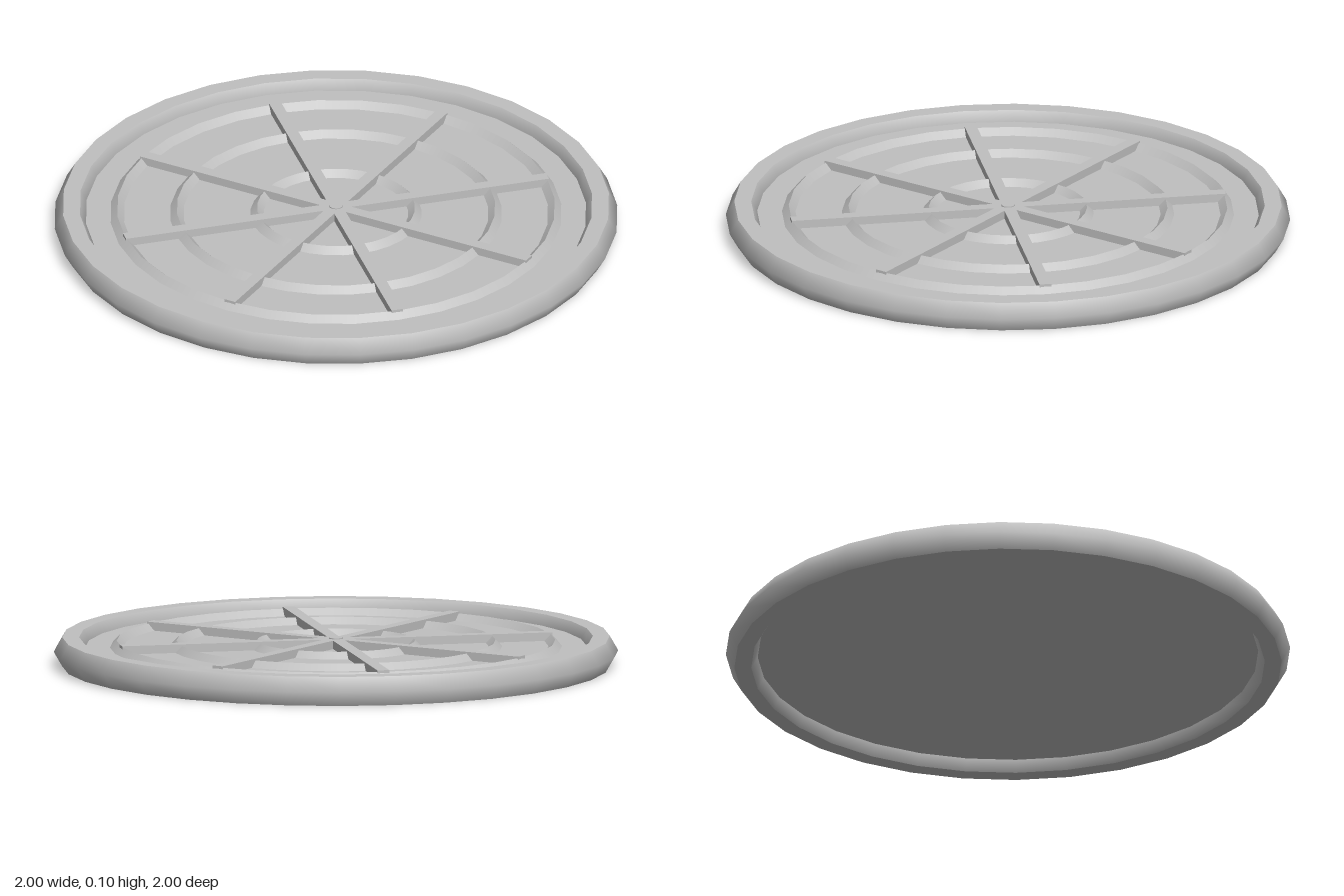
import * as THREE from 'three';

const SEGMENTS = 32;

export function createModel() {
  const model = new THREE.Group();
  model.name = 'roundCover';
  const metal = new THREE.MeshStandardMaterial({ color: 0xc0c0c0 });
  metal.name = 'lightGrey';

  const add = (name, geometry, parent = model) => {
    const mesh = new THREE.Mesh(geometry, metal);
    mesh.name = name;
    parent.add(mesh);
    return mesh;
  };

  // Each strip is smooth around the circle, with sharp creases between strips
  const lathe = (name, strips) => {
    const group = new THREE.Group();
    group.name = name;
    model.add(group);
    for (const [part, points] of Object.entries(strips)) {
      const profile = points.map(([r, y]) => new THREE.Vector2(r, y));
      add(part, new THREE.LatheGeometry(profile, SEGMENTS), group);
    }
  };

  // Six-sided outer rim
  lathe('rim', {
    rimOuterWall: [[0.97, 0], [1, 0.052], [0.97, 0.104]],
    rimTop: [[0.97, 0.104], [0.91, 0.104]],
    rimInnerWall: [[0.91, 0.104], [0.88, 0.052], [0.91, 0]],
    rimBottom: [[0.91, 0], [0.97, 0]],
  });

  // Thin plate set inside the rim
  const plateBottom = 0.04, plateTop = 0.067;
  const plate = add('plate', new THREE.CylinderGeometry(0.89, 0.89, plateTop - plateBottom, SEGMENTS));
  plate.position.y = (plateTop + plateBottom) / 2;

  // Concentric ridges with a pointed section
  [['innerRidge', 0.28], ['middleRidge', 0.565], ['outerRidge', 0.777]].forEach(([name, r]) => {
    lathe(name, {
      ridgeOuterFace: [[r + 0.024, plateTop], [r, 0.091]],
      ridgeInnerFace: [[r, 0.091], [r - 0.024, plateTop]],
    });
  });

  // Four crossing bars form eight spokes
  const barTop = 0.097;
  for (let i = 0; i < 4; i++) {
    const bar = add('crossBar', new THREE.BoxGeometry(1.56, barTop - 0.055, 0.043));
    bar.position.y = (barTop + 0.055) / 2;
    bar.rotation.y = i * Math.PI / 4;
  }

  // Small centre boss
  const boss = add('centreBoss', new THREE.CylinderGeometry(0.025, 0.025, 0.04, 12));
  boss.position.y = 0.081;

  return model;
}
